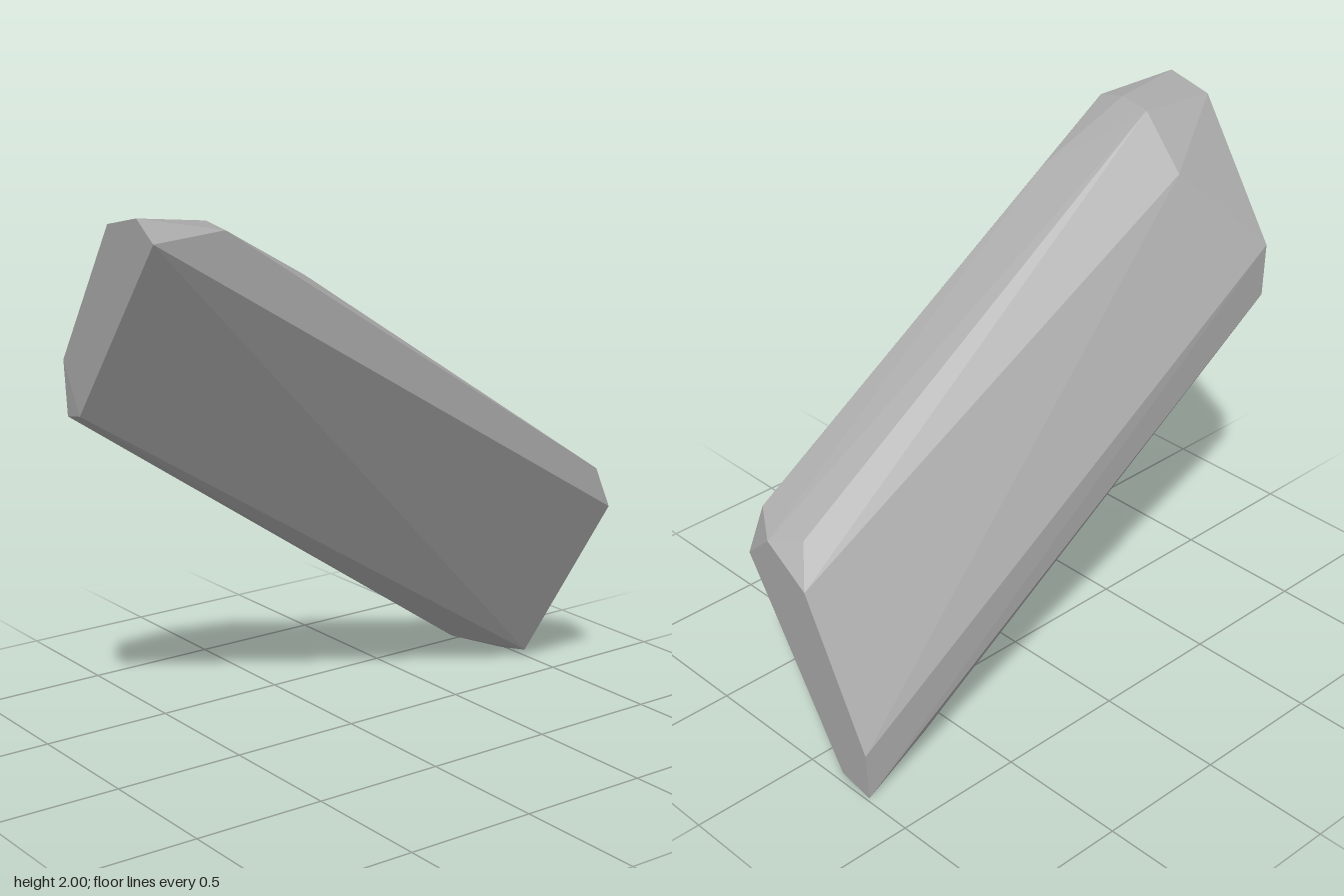
import * as THREE from 'three';
import { ConvexGeometry } from 'three/addons/geometries/ConvexGeometry.js';

// Corners of the slab, grouped by where they lie
const highEnd = [
  [-0.99, 2.0, 0.2], [-0.99, 1.96, 0.02], [-0.99, 1.46, -0.3],
  [-0.98, 1.26, -0.3], [-0.99, 1.28, -0.2], [-0.99, 1.93, 0.3],
];
const highBevel = [
  [-0.73, 1.97, 0.2], [-0.73, 1.95, 0.08], [-0.72, 1.95, 0.3],
  [-0.74, 1.75, -0.08], [-0.4, 1.77, 0.28],
];
const lowEnd = [
  [0.99, 0.74, 0.3], [0.99, 0.84, 0.19], [0.99, 0.72, 0],
  [0.99, 0.18, -0.29], [0.99, 0, -0.3], [0.99, 0.03, -0.16],
];
const lowBevel = [[0.92, 0.9, 0.3], [0.92, 0.86, 0.08], [0.7, 0.12, -0.27]];

export function createModel() {
  const group = new THREE.Group();
  group.name = 'rockShard';
  const stone = new THREE.MeshStandardMaterial({ color: 0xa6a6a6 });
  stone.name = 'grey stone';

  // Faceted leaning slab: the convex skin around its corners
  const points = [...highEnd, ...highBevel, ...lowEnd, ...lowBevel]
    .map((p) => new THREE.Vector3(...p));
  const slab = new THREE.Mesh(new ConvexGeometry(points), stone);
  slab.name = 'stoneSlab';
  group.add(slab);
  return group;
}
